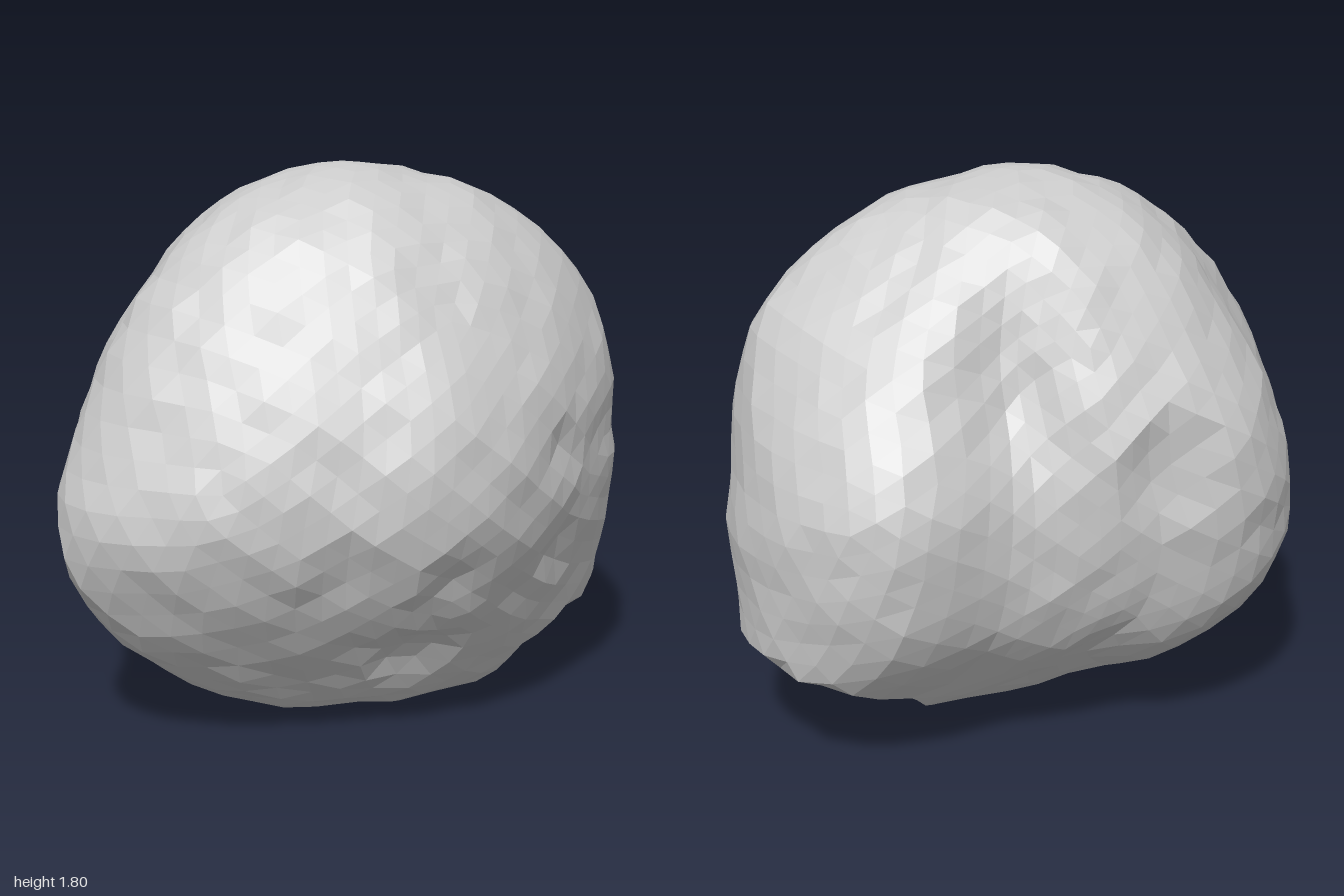
import * as THREE from 'three';

const { lerp, clamp, mapLinear } = THREE.MathUtils;

const spline = (values) => {
  const curve = new THREE.SplineCurve(values.map((v) => new THREE.Vector2(v, 0)));
  return (t) => curve.getPoint(clamp(t, 0, 1)).x;
};

// Extents of the boulder at equal steps of latitude, bottom to top
const xMin = spline([0.17, -0.33, -0.67, -0.91, -1.0, -0.89, -0.74, -0.53, -0.27, 0.02]);
const xMax = spline([0.17, 0.75, 0.98, 0.99, 1.0, 0.95, 0.84, 0.58, 0.29, 0.02]);
const zMin = spline([0.08, -0.14, -0.38, -0.62, -0.725, -0.745, -0.62, -0.46, -0.25, 0.02]);
const zMax = spline([0.08, 0.27, 0.42, 0.6, 0.74, 0.73, 0.58, 0.42, 0.23, 0.02]);

// Plan outline: radius every 20 degrees from +x towards +z
const radii = [0.99, 0.93, 0.81, 0.755, 0.74, 0.735, 0.72, 0.79, 0.91,
  1.01, 0.875, 0.87, 0.845, 0.725, 0.69, 0.735, 0.955, 1.01];
const wrapped = spline([...radii.slice(-2), ...radii, ...radii.slice(0, 3)]);
const planRadius = (turn) => wrapped((turn * 18 + 2) / 22);

// Upright valley between the two lobes at the back, deepest above the middle
const valley = (turn, y) =>
  0.13 * Math.exp(-(((turn * 360 - 296) / 20) ** 2) - ((y - 1.25) / 0.38) ** 2);

// Underside of the broken corner: height as a function of x
const breakLine = [[0.33, 0], [0.6, 0.24], [0.74, 0.27], [0.95, 0.36], [1.1, 0.4]];
function breakHeight(x) {
  for (let i = 1; i < breakLine.length; i++) {
    const [x0, y0] = breakLine[i - 1], [x1, y1] = breakLine[i];
    if (x >= x0 && x < x1) return mapLinear(x, x0, x1, y0, y1);
  }
  return -1;
}

// Chips (positive depth) and broad swellings (negative): centre, reach, depth
const dents = [
  [-0.18, 0.98, -0.66, 0.2, 0.07],
  [0, 0.26, 0.47, 0.16, 0.055],
  [0.5, 0.56, 0.52, 0.1, 0.035],
  [0.42, 0.93, 0.58, 0.12, 0.02],
  [0, 0.57, 0.67, 0.12, 0.02],
  [-0.35, 0.62, 0.56, 0.12, 0.02],
  [-0.05, 1.77, -0.22, 0.13, 0.02],
  [0.6, 1.4, -0.4, 0.55, 0.09],
  [0.6, 1.4, 0.32, 0.55, -0.06],
  [-0.68, 0.9, -0.45, 0.5, -0.04],
  [-0.48, 0.35, -0.45, 0.45, -0.06],
].map(([x, y, z, reach, depth]) => ({ at: new THREE.Vector3(x, y, z), reach, depth }));

const centre = new THREE.Vector3(0, 0.9, 0);

// Pulls a point below the break back towards the centre until it meets it
function clipToBreak(p) {
  if (p.y >= breakHeight(p.x)) return p;
  let inside = 0, outside = 1;
  const q = new THREE.Vector3();
  for (let i = 0; i < 16; i++) {
    const mid = (inside + outside) / 2;
    q.lerpVectors(centre, p, mid);
    if (q.y >= breakHeight(q.x)) inside = mid;
    else outside = mid;
  }
  return q;
}

function shapePoint(d) {
  const t = Math.acos(clamp(-d.y, -1, 1)) / Math.PI;
  const y = 0.9 + 0.9 * d.y;
  const angle = Math.atan2(d.z, d.x);
  const turn = (angle / (2 * Math.PI) + 1) % 1;
  // Plan fades to an ellipse near the poles, sooner towards the top
  const s = Math.sin(t * Math.PI);
  const w = d.y > 0 ? s * s : Math.min(1, 1.25 * s);
  const r = planRadius(turn);
  const groove = valley(turn, y);
  const px = Math.cos(angle) * (lerp(1, r, w) - groove);
  const pz = Math.sin(angle) * (lerp(1, r / 0.745, w) - groove / 0.745);
  const p = new THREE.Vector3(
    lerp(xMin(t), xMax(t), (px + 1) / 2),
    y,
    lerp(zMin(t), zMax(t), (pz + 1) / 2));
  // Fine roughness, chips and swellings
  let push = 0.006 * Math.sin(17 * p.x + 5 * p.y) * Math.sin(19 * p.y + 4 * p.z)
    + 0.005 * Math.sin(31 * p.z + 23 * p.x) * Math.cos(27 * p.y);
  for (const { at, reach, depth } of dents) {
    const q = p.distanceTo(at) / reach;
    if (q < 1) push -= depth * (1 - q * q);
  }
  p.addScaledVector(p.clone().sub(centre).normalize(), push);
  return clipToBreak(p);
}

export function createModel() {
  const group = new THREE.Group();
  group.name = 'rock';

  const geometry = new THREE.IcosahedronGeometry(1, 10);
  const pos = geometry.attributes.position;
  const d = new THREE.Vector3();
  for (let i = 0; i < pos.count; i++) {
    const p = shapePoint(d.fromBufferAttribute(pos, i).normalize());
    pos.setXYZ(i, p.x, p.y, p.z);
  }
  geometry.computeVertexNormals();

  const boulder = new THREE.Mesh(geometry,
    new THREE.MeshStandardMaterial({ color: 0xcccccc, flatShading: true }));
  boulder.name = 'boulder';
  group.add(boulder);
  return group;
}
